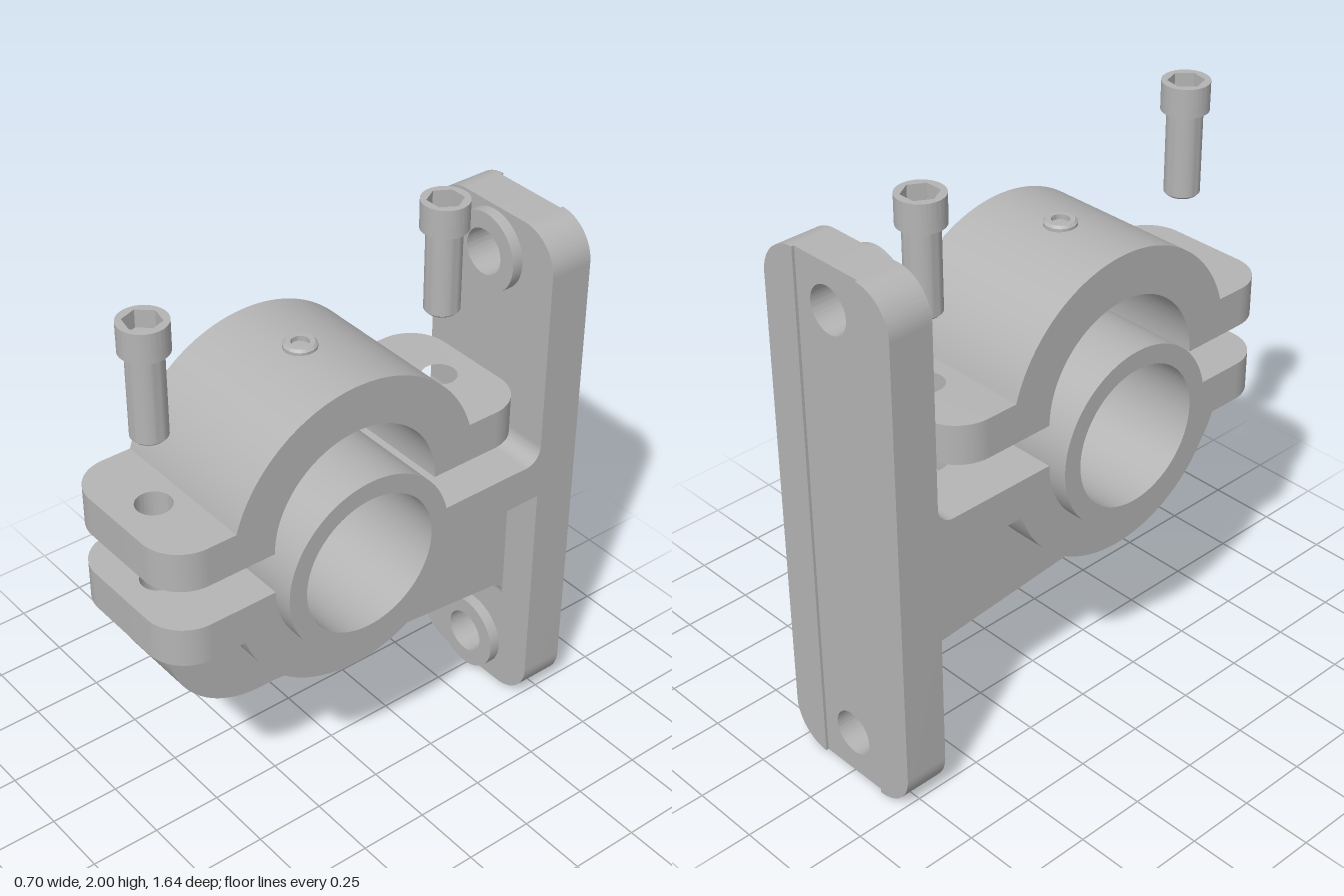
import * as THREE from 'three';
import { toCreasedNormals } from 'three/addons/utils/BufferGeometryUtils.js';

const BORE_Z = 0.12, BORE_R = 0.317, HALF_W = 0.28, CORNER = 0.14, FLANGE = 0.14;
const BOLT_Z = [0.68, -0.45], BOLT_R = 0.06;

export function createModel() {
  const model = new THREE.Group();
  model.name = 'pillowBlockBracket';
  const steel = new THREE.MeshStandardMaterial({ color: 0xb4b4b4 });
  steel.name = 'grey steel';

  const add = (parent, name, geometry) => {
    const mesh = new THREE.Mesh(geometry, steel);
    mesh.name = name;
    parent.add(mesh);
    return mesh;
  };
  const group = (name) => {
    const g = new THREE.Group();
    g.name = name;
    model.add(g);
    return g;
  };
  const extrude = (shape, depth) => toCreasedNormals(
    new THREE.ExtrudeGeometry(shape, { depth, bevelEnabled: false, curveSegments: 40 }), 0.5);
  // side profile drawn in (z, y), extruded across x
  const across = (shape, width) => extrude(shape, width).translate(0, 0, -width / 2).rotateY(-Math.PI / 2);
  // plan drawn in (x, z), extruded down from y = top
  const down = (shape, top, depth) => extrude(shape, depth).rotateX(Math.PI / 2).translate(0, top, 0);

  const hole = (x, y, r) => new THREE.Path().absarc(x, y, r, 0, Math.PI * 2, true);
  const ring = (x, y, r, inner) => {
    const s = new THREE.Shape().absarc(x, y, r, 0, Math.PI * 2, false);
    s.holes.push(hole(x, y, inner));
    return s;
  };

  // Wall plate with a shallow groove down its back
  const plate = group('wallPlate');
  const H = 1.905, mounts = [0.16, 1.75], w = HALF_W, c = CORNER;
  const outline = new THREE.Shape();
  outline.absarc(w - c, c, c, -Math.PI / 2, 0, false);
  outline.absarc(w - c, H - c, c, 0, Math.PI / 2, false);
  outline.absarc(c - w, H - c, c, Math.PI / 2, Math.PI, false);
  outline.absarc(c - w, c, c, Math.PI, Math.PI * 1.5, false);
  for (const y of mounts) outline.holes.push(hole(0, y, 0.08));
  add(plate, 'plateBody', extrude(outline, 0.15).translate(0, 0, -0.81));

  const strip = new THREE.Shape();
  strip.absarc(w - c, c, c, -Math.PI / 2, 0, false);
  strip.absarc(w - c, H - c, c, 0, Math.PI / 2, false);
  const stripGeometry = extrude(strip, 0.01).translate(0, 0, -0.82);
  add(plate, 'backLandLeft', stripGeometry);
  add(plate, 'backLandRight', stripGeometry.clone().rotateZ(Math.PI).translate(0, H, 0));
  for (const y of mounts) {
    add(plate, 'mountingBoss', extrude(ring(0, y, 0.14, 0.08), 0.04).translate(0, 0, -0.66));
  }

  // Half ring with short flange stubs; s = 1 arches up, s = -1 hangs down
  const halfRing = (y0, s, R) => {
    const a = Math.asin(FLANGE / R), half = R * Math.cos(a) + 0.012;
    const shape = new THREE.Shape();
    shape.moveTo(BORE_Z + half, y0);
    shape.lineTo(BORE_Z + half, y0 + s * FLANGE);
    shape.absarc(BORE_Z, y0, R, s * a, s * (Math.PI - a), s < 0);
    shape.lineTo(BORE_Z - half, y0 + s * FLANGE);
    shape.lineTo(BORE_Z - half, y0);
    shape.absarc(BORE_Z, y0, BORE_R, s * Math.PI, 0, s > 0);
    shape.closePath();
    return { geometry: across(shape, 2 * w), front: BORE_Z + half, rear: BORE_Z - half };
  };
  // Flange plan from z = root to z = tip, with optional rounded tip and a bolt hole
  const flange = (root, tip, rounded, holeZ, top) => {
    const d = Math.sign(tip - root), shape = new THREE.Shape();
    shape.moveTo(-w, root);
    shape.lineTo(w, root);
    if (rounded) {
      shape.absarc(w - c, tip - d * c, c, 0, d * Math.PI / 2, d < 0);
      shape.absarc(c - w, tip - d * c, c, d * Math.PI / 2, d * Math.PI, d < 0);
    } else {
      shape.lineTo(w, tip);
      shape.lineTo(-w, tip);
    }
    shape.closePath();
    shape.holes.push(hole(0, holeZ, BOLT_R));
    return down(shape, top, FLANGE);
  };

  // Lower bracket
  const bracket = group('lowerBracket');
  const saddle = halfRing(1.06, -1, 0.458);
  add(bracket, 'saddle', saddle.geometry);
  add(bracket, 'frontFlange', flange(saddle.front, 0.82, true, BOLT_Z[0], 1.06));
  add(bracket, 'rearFlange', flange(saddle.rear, -0.66, false, BOLT_Z[1], 1.06));

  const fillet = new THREE.Shape();
  fillet.moveTo(-0.66, 1.06);
  fillet.lineTo(-0.6, 1.06);
  fillet.absarc(-0.6, 1.12, 0.06, -Math.PI / 2, -Math.PI, true);
  fillet.closePath();
  add(bracket, 'flangeFillet', across(fillet, 2 * w));

  // Central rib under the saddle
  const rib = new THREE.Shape(), b = Math.asin(0.14 / 0.4);
  rib.moveTo(0.755, 0.92);
  rib.absarc(0.4, 0.91, 0.355, 0, -Math.PI * 0.527, true);
  rib.lineTo(-0.6, 0.467);
  rib.absarc(-0.6, 0.407, 0.06, Math.PI / 2, Math.PI, false);
  rib.lineTo(-0.66, 0.92);
  rib.absarc(BORE_Z, 1.06, 0.4, Math.PI + b, 2 * Math.PI - b, false);
  rib.closePath();
  add(bracket, 'supportRib', across(rib, 0.28));

  // Bearing sleeve
  add(model, 'bearingSleeve', across(ring(BORE_Z, 1.06, BORE_R, 0.25), 0.7));

  // Upper cap, lifted clear of the sleeve
  const cap = group('upperCap');
  const arch = halfRing(1.21, 1, 0.478);
  add(cap, 'capArch', arch.geometry);
  add(cap, 'capFrontFlange', flange(arch.front, 0.82, true, BOLT_Z[0], 1.35));
  add(cap, 'capRearFlange', flange(arch.rear, -0.59, true, BOLT_Z[1], 1.35));
  const port = [[0.03, 1.67], [0.03, 1.705], [0.047, 1.705], [0.055, 1.697], [0.055, 1.67]]
    .map(([r, y]) => new THREE.Vector2(r, y)).reverse();
  add(cap, 'oilPort', toCreasedNormals(new THREE.LatheGeometry(port, 40), 0.5)).position.z = BORE_Z;

  // Socket head bolts
  BOLT_Z.forEach((z, i) => {
    const bolt = group(i ? 'rearBolt' : 'frontBolt');
    bolt.position.z = z;
    const shank = [[0, 1.6], [0.052, 1.6], [0.06, 1.608], [0.06, 1.9], [0.08, 1.9], [0.08, 1.94], [0, 1.94]]
      .map(([r, y]) => new THREE.Vector2(r, y));
    add(bolt, 'boltShank', toCreasedNormals(new THREE.LatheGeometry(shank, 40), 0.5));
    const head = new THREE.Shape().absarc(0, 0, 0.08, 0, Math.PI * 2, false);
    const hex = Array.from({ length: 6 }, (_, k) => {
      const t = -k * Math.PI / 3 + (i ? 0 : 0.2);
      return new THREE.Vector2(0.061 * Math.cos(t), 0.061 * Math.sin(t));
    });
    head.holes.push(new THREE.Path(hex));
    add(bolt, 'boltHead', down(head, 2, 0.06));
  });

  return model;
}
